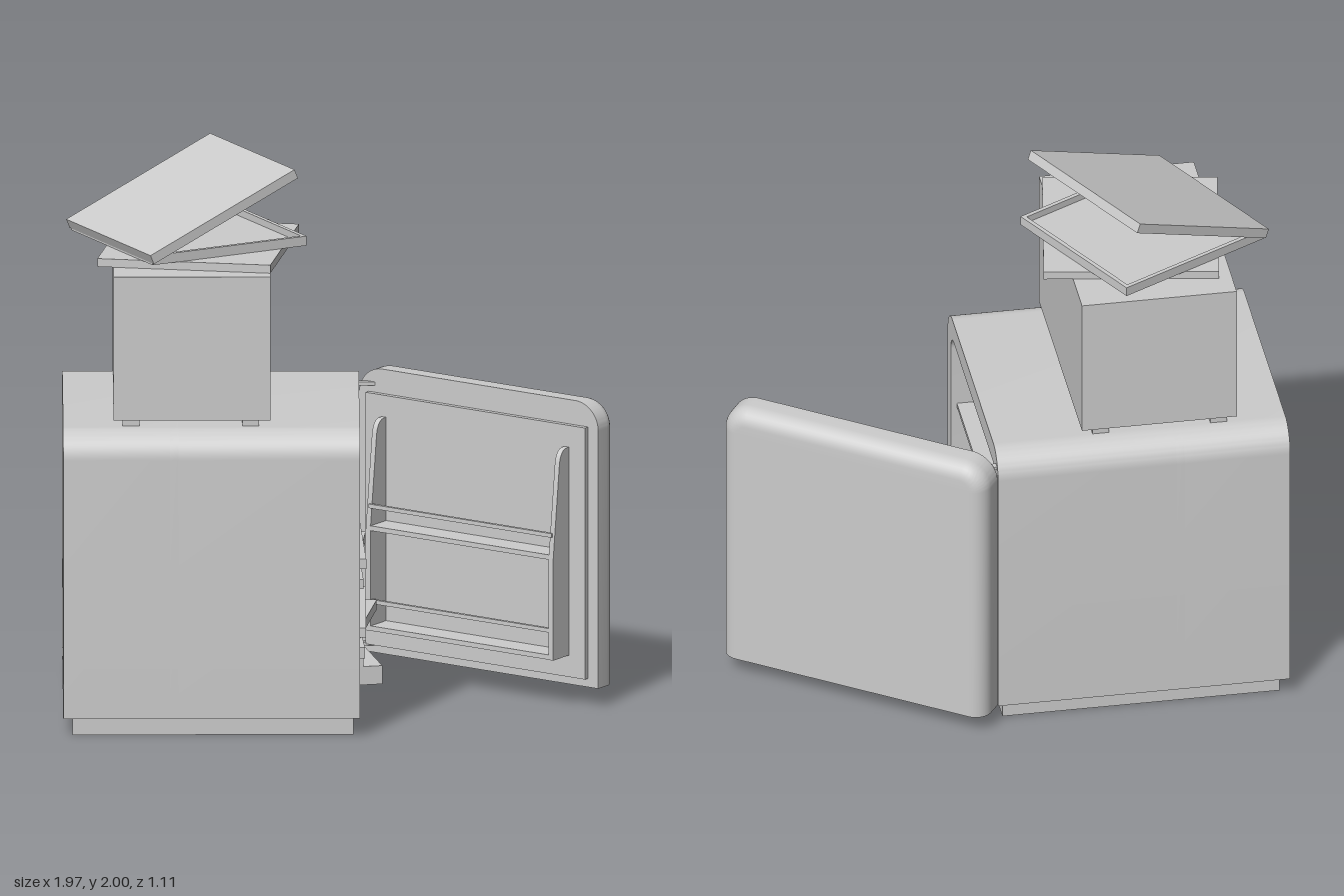
import * as THREE from 'three';
import { toCreasedNormals } from 'three/addons/utils/BufferGeometryUtils.js';
import { RoundedBoxGeometry } from 'three/addons/geometries/RoundedBoxGeometry.js';

const material = new THREE.MeshStandardMaterial({ color: 0xcccccc });

function add(parent, name, geometry, x = 0, y = 0, z = 0) {
  const mesh = new THREE.Mesh(geometry, material);
  mesh.name = name;
  mesh.position.set(x, y, z);
  parent.add(mesh);
  return mesh;
}

// Box given by its minimum and maximum on each axis
function block(parent, name, [x0, x1], [y0, y1], [z0, z1]) {
  return add(parent, name, new THREE.BoxGeometry(x1 - x0, y1 - y0, z1 - z0),
    (x0 + x1) / 2, (y0 + y1) / 2, (z0 + z1) / 2);
}

// Rectangle outline with separate radii for the top and bottom corners
function roundRect(target, x0, x1, y0, y1, top, bottom) {
  target.moveTo(x0 + bottom, y0);
  target.lineTo(x1 - bottom, y0);
  if (bottom) target.absarc(x1 - bottom, y0 + bottom, bottom, -Math.PI / 2, 0);
  target.lineTo(x1, y1 - top);
  target.absarc(x1 - top, y1 - top, top, 0, Math.PI / 2);
  target.lineTo(x0 + top, y1);
  target.absarc(x0 + top, y1 - top, top, Math.PI / 2, Math.PI);
  target.lineTo(x0, y0 + bottom);
  if (bottom) target.absarc(x0 + bottom, y0 + bottom, bottom, Math.PI, Math.PI * 1.5);
  return target;
}

// Extrude a shape along x; shape x becomes -z
function extrudeX(shape, x0, x1) {
  const g = new THREE.ExtrudeGeometry(shape, { depth: x1 - x0, bevelEnabled: false, curveSegments: 10 });
  g.rotateY(Math.PI / 2).translate(x0, 0, 0);
  return toCreasedNormals(g, 0.6);
}

// Shallow open box: x from 0 to w, centred on z; the floor is at the bottom or the top
function tray(parent, name, w, d, h, floorOnTop) {
  const group = new THREE.Group();
  group.name = name;
  const t = 0.016, f = floorOnTop ? h - 0.01 : 0;
  block(group, name + 'Panel', [0, w], [f, f + 0.01], [-d / 2, d / 2]);
  for (const s of [0, 1]) {
    const x = s * (w - t), z = s ? d / 2 - t : -d / 2;
    block(group, name + 'EndRim', [x, x + t], [0, h], [-d / 2, d / 2]);
    block(group, name + 'SideRim', [0, w], [0, h], [z, z + t]);
  }
  parent.add(group);
  return group;
}

function buildCabinet(parent) {
  const g = new THREE.Group();
  g.name = 'fridgeCabinet';
  parent.add(g);
  const outline = () => roundRect(new THREE.Shape(), -0.557, 0.49, 0.066, 1.12, 0.1, 0);

  // Food compartment, its back wall, and the rear with an open machine bay
  const front = outline();
  front.holes.push(roundRect(new THREE.Path(), -0.49, 0.43, 0.135, 1.04, 0.06, 0.06));
  add(g, 'compartment', extrudeX(front, -0.57, 0.082));
  add(g, 'backWall', extrudeX(outline(), -0.6, -0.57));
  const rear = new THREE.Shape();
  rear.moveTo(-0.557, 0.066);
  for (const [x, y] of [[-0.54, 0.066], [-0.54, 0.44], [0.475, 0.44], [0.475, 0.066], [0.49, 0.066], [0.49, 1.02]]) rear.lineTo(x, y);
  rear.absarc(0.39, 1.02, 0.1, 0, Math.PI / 2);
  rear.lineTo(-0.457, 1.12);
  rear.absarc(-0.457, 1.02, 0.1, Math.PI / 2, Math.PI);
  add(g, 'rearHousing', extrudeX(rear, -0.984, -0.6));

  // Hollow plinth
  const base = [0, 0.066];
  block(g, 'plinthRear', [-0.95, -0.91], base, [-0.456, 0.53]);
  block(g, 'plinthFront', [0.02, 0.06], base, [-0.456, 0.53]);
  block(g, 'plinthRight', [-0.95, 0.06], base, [0.49, 0.53]);
  block(g, 'plinthLeft', [-0.95, 0.06], base, [-0.456, -0.416]);

  // Machine bay floor and fittings
  block(g, 'bayFloor', [-0.984, -0.7], [0.066, 0.08], [-0.475, 0.54]);
  add(g, 'compressor', new RoundedBoxGeometry(0.28, 0.35, 0.4, 4, 0.07), -0.77, 0.255, 0.13);
  block(g, 'condenserBox', [-0.96, -0.7], [0.08, 0.36], [-0.46, -0.11]);
  block(g, 'controlBox', [-0.96, -0.82], [0.375, 0.44], [0.29, 0.47]);

  // Shelves
  for (const y of [0.49, 0.735]) block(g, 'shelf', [-0.57, 0.06], [y - 0.008, y + 0.008], [-0.43, 0.49]);
}

function buildDoor(parent) {
  const door = new THREE.Group();
  door.name = 'openDoor';
  door.position.set(0.082, 0, -0.463);
  door.rotation.y = -THREE.MathUtils.degToRad(35);
  parent.add(door);

  // Door skin: rounded on its outer face, flat on its inner face and underside
  const shape = roundRect(new THREE.Shape(), -0.012, 1.034, 0, 1.12, 0.1, 0);
  const skin = new THREE.ExtrudeGeometry(shape, {
    depth: 0.055, bevelThickness: 0.06, bevelSize: 0.06, bevelOffset: -0.06, bevelSegments: 8, curveSegments: 12,
  }).translate(0, 0, -0.075);
  const p = skin.attributes.position;
  for (let i = 0; i < p.count; i++) {
    p.setY(i, Math.max(0.068, p.getY(i)));
    p.setZ(i, Math.min(-0.02, p.getZ(i)));
  }
  add(door, 'doorSkin', toCreasedNormals(skin, 0.6));
  block(door, 'doorGasket', [0.03, 0.99], [0.1, 1.03], [-0.02, 0]);

  // Tapered rack cheeks
  const cheek = new THREE.Shape();
  cheek.moveTo(0, 0.18);
  cheek.lineTo(-0.1, 0.18);
  cheek.lineTo(-0.1, 0.55);
  cheek.lineTo(-0.06, 0.9);
  cheek.quadraticCurveTo(-0.05, 0.95, -0.015, 0.95);
  cheek.lineTo(0, 0.95);
  for (const x of [0.1, 0.9]) add(door, 'rackSide', extrudeX(cheek, x, x + 0.02));

  // Rack floors and retaining rails
  for (const [floor, rail] of [[0.18, 0.28], [0.55, 0.632]]) {
    block(door, 'rackFloor', [0.11, 0.91], [floor, floor + 0.018], [0, 0.098]);
    block(door, 'rackRail', [0.11, 0.91], [rail, rail + 0.015], [0.082, 0.096]);
  }

  // Hinges
  for (const y of [0.1, 1.062]) {
    block(parent, 'hingeArm', [0.05, 0.14], [y - 0.006, y + 0.006], [-0.47, -0.445]);
  }
}

function buildContents(parent) {
  const g = new THREE.Group();
  g.name = 'fridgeContents';
  parent.add(g);
  // Flat boxes: bottom, height, x, z, turn in degrees
  const boxes = [
    [0.137, 0.068, -0.21, 0.08, 12], [0.205, 0.038, -0.25, 0.06, 6], [0.243, 0.04, -0.23, 0.07, 3],
    [0.283, 0.036, -0.21, 0.055, -8], [0.319, 0.036, -0.21, 0.05, 0],
    [0.5, 0.036, -0.23, 0.07, 2], [0.536, 0.036, -0.23, 0.08, -4], [0.572, 0.037, -0.22, 0.06, 2],
  ];
  for (const [y, h, x, z, turn] of boxes) {
    add(g, 'flatBox', new THREE.BoxGeometry(0.63, h, 0.63), x, y + h / 2, z)
      .rotation.y = THREE.MathUtils.degToRad(turn);
  }
  for (const z of [0.285, 0.095]) {
    add(g, 'can', new THREE.CylinderGeometry(0.085, 0.085, 0.21, 28), -0.085, 0.845, z);
  }
}

function buildTopItems(parent) {
  // Upper cabinet on four feet
  block(parent, 'upperBox', [-0.803, -0.238], [1.15, 1.68], [-0.41, 0.48]);
  for (const x of [-0.77, -0.34]) {
    for (const z of [-0.39, 0.38]) block(parent, 'foot', [x, x + 0.06], [1.12, 1.15], [z, z + 0.06]);
  }
  // Closed flat box
  add(parent, 'closedFlatBox', new THREE.BoxGeometry(0.63, 0.03, 0.64), -0.497, 1.695, 0.055)
    .rotation.y = -THREE.MathUtils.degToRad(9.5);

  // Open flat box with a raised lid
  const open = new THREE.Group();
  open.name = 'openFlatBox';
  open.position.set(-0.808, 1.71, 0.15);
  open.rotation.y = THREE.MathUtils.degToRad(28.3);
  tray(open, 'boxBase', 0.63, 0.615, 0.035, false);
  const lid = tray(open, 'boxLid', 0.64, 0.635, 0.036, true);
  lid.position.y = 0.006;
  lid.rotation.z = THREE.MathUtils.degToRad(23);
  parent.add(open);
}

export function createModel() {
  const model = new THREE.Group();
  model.name = 'openFridgeWithBoxes';
  buildCabinet(model);
  buildDoor(model);
  buildContents(model);
  buildTopItems(model);
  return model;
}
